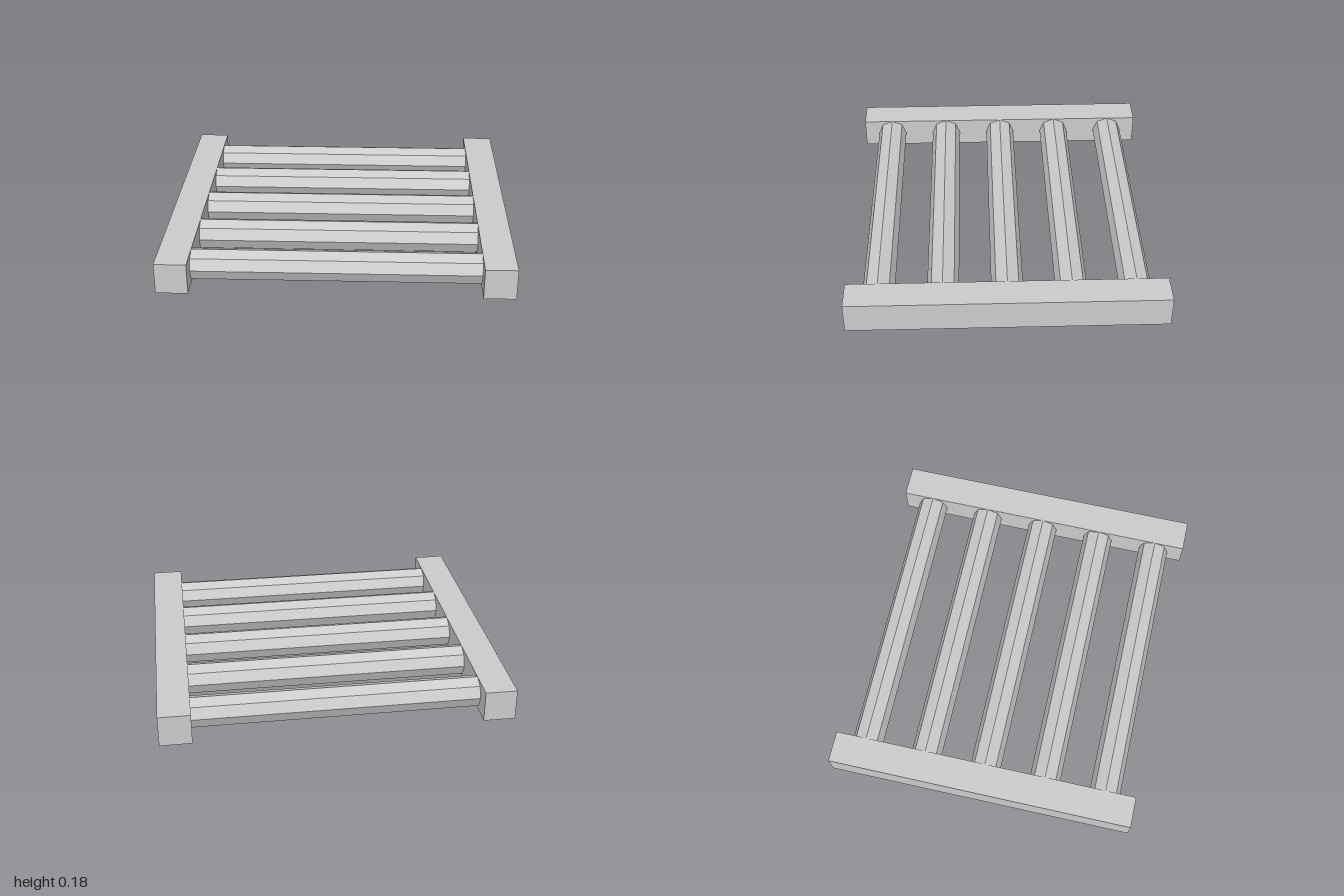
import * as THREE from 'three';

const HEIGHT = 0.182;   // rail thickness and rung diameter
const DEPTH = 1.818;    // rail length
const SPACING = 0.3636; // distance between rungs

export function createModel() {
  const model = new THREE.Group();
  const material = new THREE.MeshStandardMaterial({ color: 0xcccccc, flatShading: true });

  function addPart(name, geometry, x, z) {
    const mesh = new THREE.Mesh(geometry, material);
    mesh.name = name;
    mesh.position.set(x, HEIGHT / 2, z);
    model.add(mesh);
  }

  // Two square side rails
  const railGeometry = new THREE.BoxGeometry(HEIGHT, HEIGHT, DEPTH);
  const railX = 1 - HEIGHT / 2;
  addPart('leftRail', railGeometry, railX, 0);
  addPart('rightRail', railGeometry, -railX, 0);

  // Five octagonal rungs spanning the gap between the rails
  const rungGeometry = new THREE.CylinderGeometry(HEIGHT / 2, HEIGHT / 2, 2 - 2 * HEIGHT, 8);
  rungGeometry.rotateZ(Math.PI / 2);
  for (let i = 0; i < 5; i++) {
    addPart(`rung${i + 1}`, rungGeometry, 0, (i - 2) * SPACING);
  }

  return model;
}
